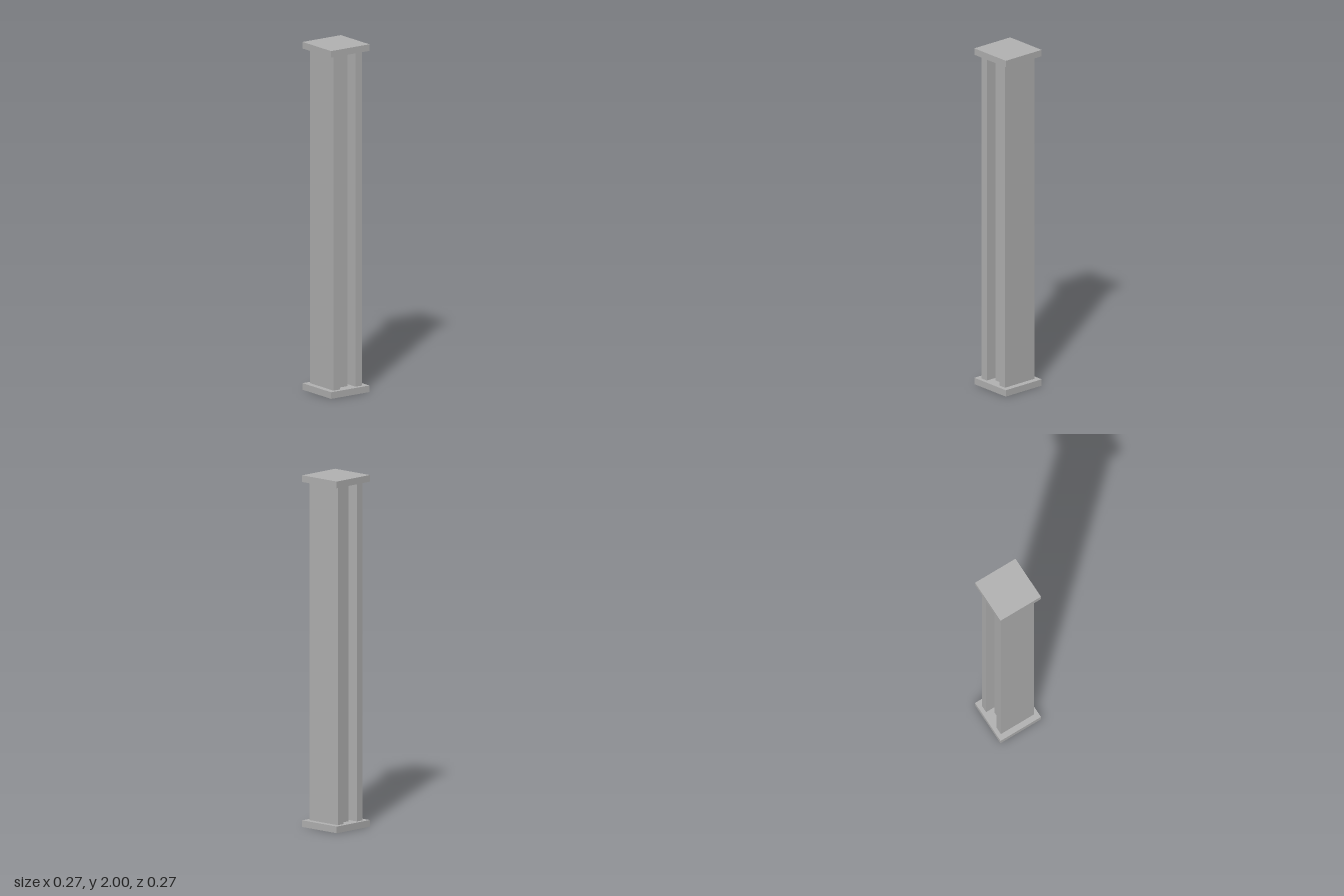
import * as THREE from 'three';

export function createModel() {
  const group = new THREE.Group();
  const grey = new THREE.MeshStandardMaterial({ color: 0xb2b2b2 });
  grey.name = 'grey';

  const addBox = (name, w, h, d, x, y) => {
    const mesh = new THREE.Mesh(new THREE.BoxGeometry(w, h, d), grey);
    mesh.name = name;
    mesh.position.set(x, y, 0);
    group.add(mesh);
  };

  const plate = 0.267, plateH = 0.038;
  const shaftH = 2 - 2 * plateH;

  // Square end plates
  addBox('basePlate', plate, plateH, plate, 0, plateH / 2);
  addBox('capPlate', plate, plateH, plate, 0, 2 - plateH / 2);

  // Two full-depth outer slabs
  addBox('leftSlab', 0.046, shaftH, 0.22, 0.077, 1);
  addBox('rightSlab', 0.046, shaftH, 0.22, -0.077, 1);

  // Shallower slab set back between them
  addBox('middleSlab', 0.05, shaftH, 0.144, 0, 1);

  return group;
}
